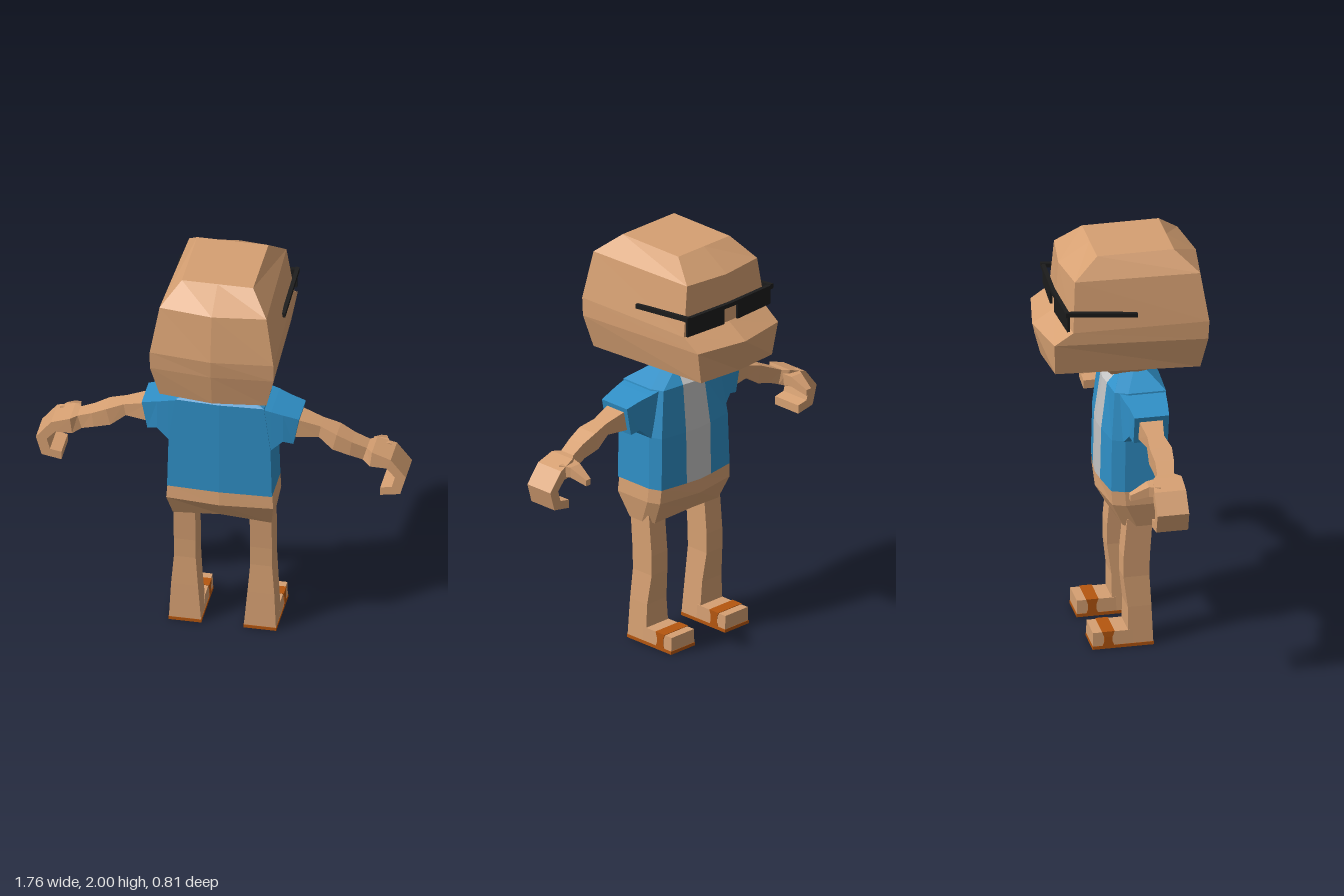
import * as THREE from 'three';

const mat = (name, color) => Object.assign(new THREE.MeshStandardMaterial({ color, flatShading: true }), { name });

// Skins a stack of equal-length rings, capped at both ends; pick(segment) chooses a material index.
function loft(name, rings, mats, pick = () => 0) {
  const list = Array.isArray(mats) ? mats : [mats];
  const tris = list.map(() => []);
  const n = rings[0].length;
  const mid = r => [0, 1, 2].map(k => r.reduce((s, p) => s + p[k], 0) / n);
  for (let i = 0; i < rings.length - 1; i++) {
    for (let j = 0; j < n; j++) {
      const k = (j + 1) % n, a = rings[i], b = rings[i + 1];
      tris[pick(j)].push([a[j], b[j], b[k]], [a[j], b[k], a[k]]);
    }
  }
  const first = rings[0], last = rings[rings.length - 1];
  const c0 = mid(first), c1 = mid(last);
  for (let j = 0; j < n; j++) {
    const k = (j + 1) % n;
    tris[0].push([c0, first[j], first[k]], [c1, last[k], last[j]]);
  }
  // Turn all faces outward using the signed volume
  const volume = tris.flat().reduce((s, [a, b, c]) => s +
    a[0] * (b[1] * c[2] - b[2] * c[1]) + a[1] * (b[2] * c[0] - b[0] * c[2]) + a[2] * (b[0] * c[1] - b[1] * c[0]), 0);
  if (volume < 0) tris.flat().forEach(t => t.reverse());
  const geo = new THREE.BufferGeometry();
  geo.setAttribute('position', new THREE.Float32BufferAttribute(tris.flat(3), 3));
  let start = 0;
  tris.forEach((t, m) => { geo.addGroup(start, t.length * 3, m); start += t.length * 3; });
  geo.computeVertexNormals();
  const mesh = new THREE.Mesh(geo, mats);
  mesh.name = name;
  return mesh;
}

// Closes a half outline (x >= 0, front to back) by mirroring it
const mirror = half => [...half, ...half.filter(p => p[0] > 0).reverse().map(([x, y, z]) => [-x, y, z])];
const level = (y, half) => mirror(half.map(([x, z]) => [x, y, z]));

// Limb section: upper point, lower point, z range
const section = s => ([xa, ya, xb, yb, z0, z1]) =>
  [[s * xa, ya, z0], [s * xa, ya, z1], [s * xb, yb, z1], [s * xb, yb, z0]];
// Horizontal rectangular section
const slab = s => ([y, x0, x1, z0, z1]) =>
  [[s * x0, y, z0], [s * x1, y, z0], [s * x1, y, z1], [s * x0, y, z1]];

export function createModel() {
  const skin = mat('skin', 0xd6a072);
  const blue = mat('shirt blue', 0x2f8fc6);
  const grey = mat('undershirt grey', 0xc2c2c2);
  const orange = mat('sandal orange', 0xb5560f);
  const black = mat('glasses black', 0x1c1c1c);
  const model = new THREE.Group();
  model.name = 'figure';

  // Head with overhanging muzzle
  model.add(loft('head', [
    level(1.33, [[0, -0.05], [0.07, -0.04], [0.07, 0.08], [0, 0.09]]),
    mirror([[0, 1.385, -0.08], [0.15, 1.39, -0.08], [0.17, 1.39, 0.13], [0, 1.385, 0.14]]),
    mirror([[0, 1.44, -0.365], [0.235, 1.44, -0.345], [0.255, 1.42, 0.345], [0, 1.415, 0.37]]),
    mirror([[0, 1.6, -0.405], [0.265, 1.6, -0.355], [0.295, 1.58, 0.375], [0, 1.58, 0.4]]),
    mirror([[0, 1.67, -0.295], [0.268, 1.66, -0.265], [0.295, 1.67, 0.38], [0, 1.67, 0.41]]),
    level(1.905, [[0, -0.28], [0.232, -0.25], [0.255, 0.345], [0, 0.378]]),
    level(2, [[0, -0.13], [0.17, -0.13], [0.17, 0.237], [0, 0.237]]),
  ], skin));

  // Open shirt with a grey strip down the front
  const torso = (y, w, f, c, b, strip = 0.08) =>
    level(y, [[0, f], [strip, f + 0.008], [w - 0.025, c], [w, c + 0.06], [w, b - 0.01], [0, b]]);
  const strip = j => (j === 0 || j === 9 ? 1 : 0);
  model.add(loft('shirt', [
    torso(0.8, 0.25, -0.105, -0.075, 0.2),
    torso(1.06, 0.243, -0.1, -0.07, 0.2),
    torso(1.29, 0.212, -0.07, -0.05, 0.2, 0.07),
    torso(1.35, 0.08, 0, 0.005, 0.13, 0.04),
  ], [blue, grey], strip));

  // Hips
  const hip = (y, yc, w, f, c, b) => mirror([
    [0, yc, f], [w - 0.025, y, c], [w, y, c + 0.06], [w, y, b - 0.02], [0, yc, b]]);
  model.add(loft('hips', [
    hip(0.61, 0.64, 0.235, -0.055, -0.015, 0.145),
    hip(0.73, 0.73, 0.255, -0.105, -0.07, 0.205),
    hip(0.8, 0.8, 0.25, -0.104, -0.074, 0.2),
  ], skin));

  for (const s of [1, -1]) {
    const side = s > 0 ? 'left' : 'right';
    const add = (name, rows, cut, m) => model.add(loft(side + name, rows.map(cut(s)), m));

    add('Sleeve', [
      [0.18, 1.29, 0.2, 1.03, -0.03, 0.19],
      [0.245, 1.275, 0.245, 1.06, -0.02, 0.185],
      [0.3, 1.26, 0.3, 1.112, -0.005, 0.18],
      [0.375, 1.24, 0.348, 1.1, 0.005, 0.17],
    ], section, blue);

    // Arm running into a curled, mitten-like hand
    add('Arm', [
      [0.34, 1.225, 0.34, 1.12, 0.025, 0.145],
      [0.47, 1.185, 0.46, 1.125, 0.045, 0.125],
      [0.55, 1.16, 0.53, 1.075, 0.04, 0.145],
      [0.62, 1.125, 0.61, 1.05, 0.05, 0.14],
      [0.69, 1.092, 0.67, 1.025, 0.045, 0.125],
      [0.72, 1.09, 0.71, 1.01, 0.02, 0.155],
      [0.81, 1.06, 0.79, 1.01, 0.005, 0.157],
      [0.882, 0.97, 0.83, 0.965, 0.005, 0.157],
      [0.855, 0.875, 0.815, 0.91, 0.005, 0.157],
      [0.76, 0.858, 0.76, 0.9, 0.005, 0.157],
    ], section, skin);

    // Thumb pointing forward and slightly down
    model.add(loft(side + 'Thumb', [
      [0.69, 0.79, 1.02, 1.075, 0.04], [0.7, 0.765, 1.02, 1.07, -0.01], [0.715, 0.745, 0.995, 1.025, -0.095],
    ].map(([x0, x1, y0, y1, z]) =>
      [[s * x0, y0, z], [s * x1, y0, z], [s * x1, y1, z], [s * x0, y1, z]]), skin));

    add('Leg', [
      [0.016, 0.102, 0.255, 0, 0.12],
      [0.2, 0.118, 0.246, 0, 0.113],
      [0.35, 0.13, 0.234, -0.018, 0.106],
      [0.45, 0.13, 0.234, -0.018, 0.108],
      [0.65, 0.13, 0.234, 0, 0.122],
    ], slab, skin);

    // Foot, sole and sandal strap
    add('Foot', [[0.016, 0.102, 0.255, -0.168, 0.02], [0.084, 0.104, 0.252, -0.168, 0.02]], slab, skin);
    add('Sole', [[0, 0.1, 0.257, -0.17, 0.122], [0.016, 0.1, 0.257, -0.17, 0.122]], slab, orange);
    add('Strap', [
      [0.01, 0.1, 0.257, -0.125, -0.065],
      [0.035, 0.1, 0.257, -0.115, -0.075],
      [0.06, 0.1, 0.257, -0.115, -0.075],
      [0.087, 0.1, 0.256, -0.125, -0.065],
    ], slab, orange);

    // Glasses: lens, top bar and temple
    const glass = (name, x0, x1, y0, y1, za, zb, t) => model.add(loft(side + name,
      [[x0, za], [x1, zb]].map(([x, z]) =>
        [[s * x, y0, z], [s * x, y1, z], [s * x, y1, z + t], [s * x, y0, z + t]]), black));
    glass('Lens', 0.043, 0.275, 1.672, 1.765, -0.31, -0.296, 0.012);
    glass('GlassesBar', 0, 0.284, 1.75, 1.77, -0.316, -0.304, 0.02);
    model.add(loft(side + 'Temple', [[-0.305, 1.765], [0.04, 1.73]].map(([z, y]) =>
      [[s * 0.265, y - 0.012, z], [s * 0.284, y - 0.012, z], [s * 0.284, y + 0.01, z], [s * 0.265, y + 0.01, z]]), black));
  }
  return model;
}
